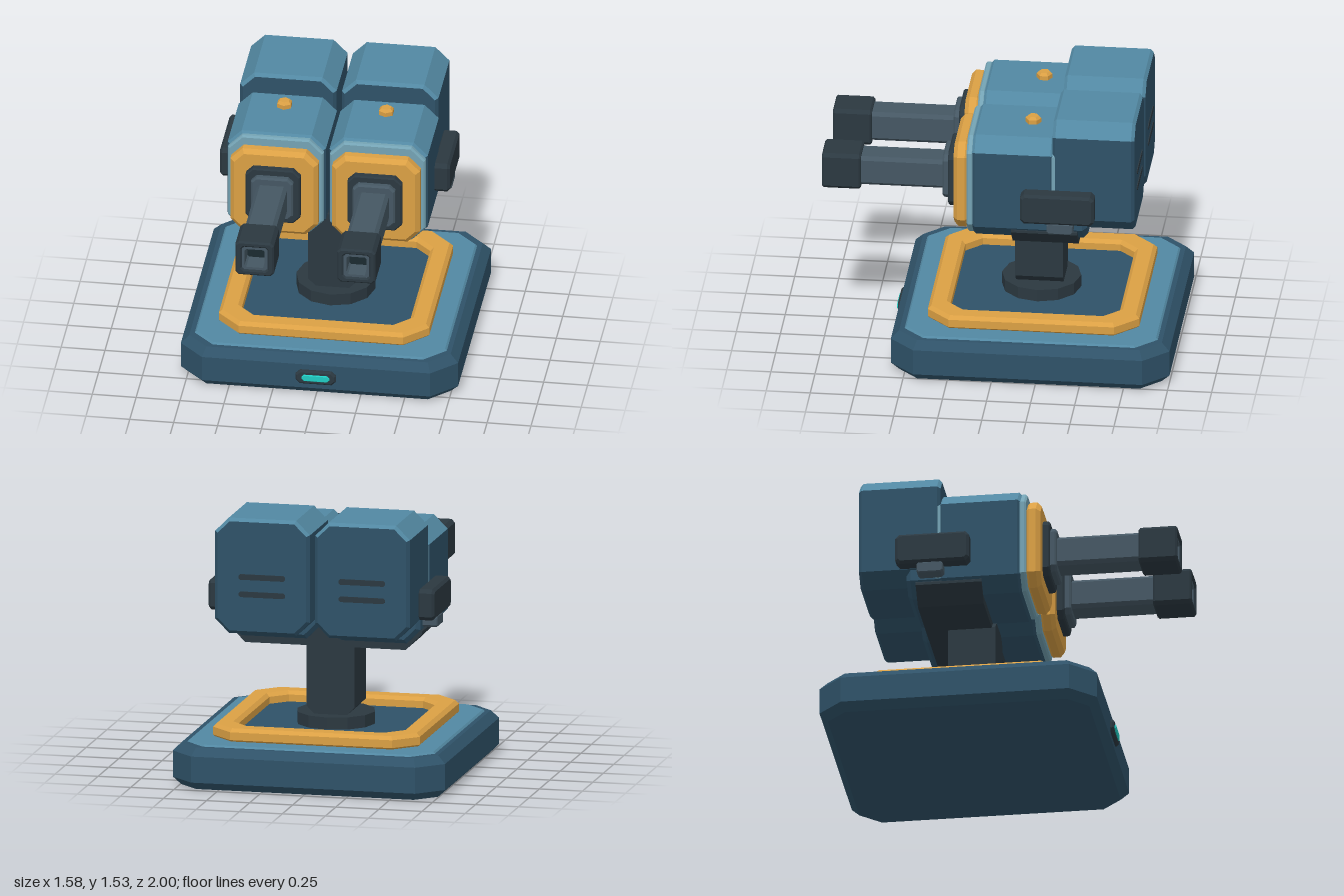
import * as THREE from 'three';

const mat = (color) => new THREE.MeshStandardMaterial({ color, flatShading: true });
const M = {
  blue: mat(0x2f5268), light: mat(0x5288a2), panel: mat(0x74a3b4), yellow: mat(0xdba044),
  dark: mat(0x2b3840), grey: mat(0x455763), black: mat(0x1b2a30), glow: mat(0x1fccc2),
};

// Rectangle with chamfered corners
function octagon(w, h, c, Type = THREE.Shape) {
  const x = w / 2, y = h / 2;
  return new Type([
    [x - c, -y], [x, -y + c], [x, y - c], [x - c, y],
    [-x + c, y], [-x, y - c], [-x, -y + c], [-x + c, -y],
  ].map(([a, b]) => new THREE.Vector2(a, b)));
}

// Chamfered block centred on the origin, running along z, with bevelled ends and an optional hole
function block(w, h, d, c, b = 0, hole = null) {
  const shape = octagon(w, h, c);
  if (hole) shape.holes.push(octagon(hole[0], hole[1], hole[2], THREE.Path));
  const geo = new THREE.ExtrudeGeometry(shape, {
    depth: d - 2 * b, bevelEnabled: b > 0, bevelSize: b, bevelThickness: b, bevelOffset: -b, bevelSegments: 1,
  });
  return geo.translate(0, 0, -d / 2 + b);
}

// The same block lying flat, running along y
const plate = (w, d, h, c, b, hole) => block(w, d, h, c, b, hole).rotateX(-Math.PI / 2);

function add(parent, name, geo, material, x, y, z) {
  const mesh = new THREE.Mesh(geo, material);
  mesh.name = name;
  mesh.position.set(x, y, z);
  parent.add(mesh);
  return mesh;
}

// Splits a block into a dark shell and a lighter cap made of its upward faces
function addCapped(parent, name, geo, x, y, z) {
  const p = geo.attributes.position, n = geo.attributes.normal;
  const sets = [[], []];
  for (let i = 0; i < p.count; i += 3) {
    const out = sets[n.getY(i) > 0.3 ? 1 : 0];
    for (let k = i; k < i + 3; k++) out.push(p.getX(k), p.getY(k), p.getZ(k));
  }
  sets.forEach((list, i) => {
    const part = new THREE.BufferGeometry();
    part.setAttribute('position', new THREE.Float32BufferAttribute(list, 3));
    part.computeVertexNormals();
    add(parent, name + (i ? 'Cap' : 'Shell'), part, i ? M.light : M.blue, x, y, z);
  });
}

function makeBase() {
  const g = new THREE.Group();
  g.name = 'base';
  const z = -0.21;
  add(g, 'baseBody', plate(1.58, 1.58, 0.24, 0.14, 0.045), M.blue, 0, 0.12, z);
  add(g, 'baseTop', plate(1.44, 1.44, 0.05, 0.12, 0.012), M.light, 0, 0.225, z);
  add(g, 'baseRing', plate(1.2, 1.2, 0.085, 0.13, 0.02, [0.96, 0.96, 0.09]), M.yellow, 0, 0.2825, z);
  add(g, 'baseFloor', plate(1.0, 1.0, 0.02, 0.09, 0), M.blue, 0, 0.255, z);
  // Status light on the front edge
  add(g, 'lightHousing', block(0.23, 0.085, 0.05, 0.025, 0.01), M.dark, 0, 0.12, 0.575);
  add(g, 'statusLight', block(0.16, 0.04, 0.03, 0.014, 0.004), M.glow, 0, 0.12, 0.592);
  return g;
}

function makeMount() {
  const g = new THREE.Group();
  g.name = 'mount';
  const z = -0.205;
  add(g, 'postFlange', new THREE.CylinderGeometry(0.225, 0.225, 0.07, 12), M.dark, 0, 0.3, z);
  add(g, 'post', block(0.28, 0.47, 0.27, 0.045), M.dark, 0, 0.57, z);
  add(g, 'cradle', block(1.12, 0.205, 0.375, 0.095), M.dark, 0, 0.8575, -0.278);
  return g;
}

// One gun pod, centred on x = 0; side is +1 for left, -1 for right
function makePod(side) {
  const g = new THREE.Group();
  g.name = side > 0 ? 'leftPod' : 'rightPod';

  // Body
  addCapped(g, 'frontHousing', block(0.56, 0.62, 0.46, 0.08, 0.015), 0, 1.11, -0.1);
  add(g, 'seam', block(0.545, 0.605, 0.04, 0.08), M.panel, 0, 1.11, -0.332);
  addCapped(g, 'rearHousing', block(0.55, 0.665, 0.465, 0.08, 0.018), 0, 1.2025, -0.5575);
  addCapped(g, 'lowerHousing', block(0.54, 0.3, 0.22, 0.08, 0.025), 0, 0.95, -0.41);
  for (const y of [1.2, 1.1]) add(g, 'vent', block(0.27, 0.032, 0.02, 0.01), M.dark, 0, y, -0.785);

  // Top bolt
  add(g, 'bolt', new THREE.CylinderGeometry(0.03, 0.045, 0.015, 6), M.yellow, 0, 1.4525, -0.19);
  add(g, 'boltBase', new THREE.CylinderGeometry(0.045, 0.045, 0.035, 6), M.yellow, 0, 1.4275, -0.19);

  // Stepped face plates
  add(g, 'facePanel', block(0.545, 0.6, 0.04, 0.08, 0.01), M.panel, 0, 1.11, 0.142);
  add(g, 'faceFrame', block(0.5, 0.53, 0.09, 0.07, 0.024), M.yellow, 0, 1.097, 0.195);
  add(g, 'barrelCollar', block(0.31, 0.34, 0.06, 0.04, 0.008), M.dark, 0, 1.1, 0.25);
  add(g, 'barrelSocket', block(0.24, 0.265, 0.06, 0.03, 0.01), M.grey, 0, 1.1, 0.285);

  // Barrel and hollow muzzle
  add(g, 'barrel', block(0.175, 0.175, 0.56, 0.02), M.grey, 0, 1.1, 0.58);
  add(g, 'muzzle', block(0.22, 0.215, 0.22, 0.02, 0.01, [0.145, 0.145, 0.012]), M.dark, 0, 1.1, 0.89);
  add(g, 'muzzleLiner', block(0.15, 0.15, 0.13, 0.012, 0, [0.115, 0.115, 0.01]), M.grey, 0, 1.1, 0.925);
  add(g, 'bore', block(0.14, 0.14, 0.01, 0.01), M.black, 0, 1.1, 0.868);

  // Outer side box with its bracket
  add(g, 'sideBox', block(0.42, 0.18, 0.1, 0.022, 0.015).rotateY(Math.PI / 2), M.dark, side * 0.315, 1.04, -0.36);
  add(g, 'sideBracket', block(0.15, 0.065, 0.09, 0.012, 0.006).rotateY(Math.PI / 2), M.grey, side * 0.31, 0.922, -0.375);
  g.position.x = side * 0.29;
  return g;
}

export function createModel() {
  const model = new THREE.Group();
  model.name = 'twinTurret';
  model.add(makeBase(), makeMount(), makePod(1), makePod(-1));
  return model;
}
